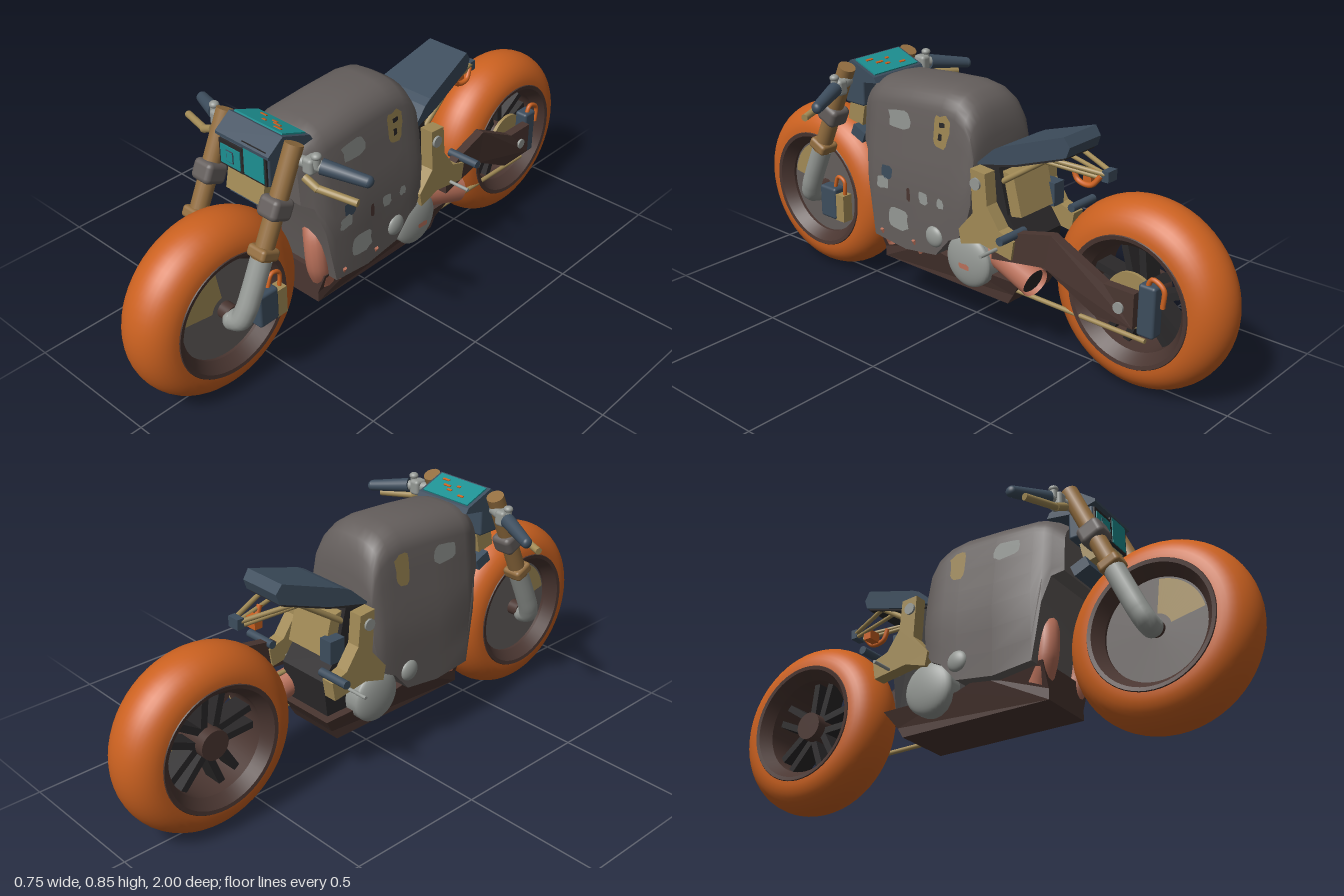
import * as THREE from 'three';
import { toCreasedNormals } from 'three/addons/utils/BufferGeometryUtils.js';
import { RoundedBoxGeometry } from 'three/addons/geometries/RoundedBoxGeometry.js';

const mat = (name, hex, side = THREE.FrontSide) => {
  const m = new THREE.MeshStandardMaterial({ color: hex, side });
  m.name = name;
  return m;
};

export function createModel() {
  const D = THREE.DoubleSide;
  const orange = mat('orange', 0xcb6120), grey = mat('warm grey', 0x645e5c), brown = mat('dark brown', 0x4a3631, D);
  const slate = mat('slate blue', 0x3d4d5d), khaki = mat('khaki', 0xa18a56, D), bronze = mat('bronze', 0x936e40);
  const silver = mat('light grey', 0x949894, D), salmon = mat('salmon', 0xb8705a, D), teal = mat('teal', 0x1d9092);
  const black = mat('near black', 0x2a2829);
  const model = new THREE.Group();
  model.name = 'motorcycle';

  const add = (name, geo, m, parent = model) => {
    const mesh = new THREE.Mesh(geo, m);
    mesh.name = name;
    parent.add(mesh);
    return mesh;
  };
  const V = (p) => new THREE.Vector3(...p);
  const box = (name, size, pos, m, rx = 0, round = 0) => {
    const b = add(name, round ? new RoundedBoxGeometry(...size, 3, round) : new THREE.BoxGeometry(...size), m);
    b.position.set(...pos);
    b.rotation.x = rx;
  };
  // cylinder between two points
  const rod = (name, a, b, r, m, r2 = r, open = false) => {
    const d = V(b).sub(V(a));
    const c = add(name, new THREE.CylinderGeometry(r2, r, d.length(), 20, 1, open), m);
    c.position.copy(V(a)).addScaledVector(d, 0.5);
    c.quaternion.setFromUnitVectors(new THREE.Vector3(0, 1, 0), d.normalize());
  };
  const ball = (name, pos, size, m) => {
    const b = add(name, new THREE.SphereGeometry(1, 32, 20), m);
    b.position.set(...pos);
    b.scale.set(...size);
  };
  const tube = (name, pts, r, m) =>
    add(name, new THREE.TubeGeometry(new THREE.CatmullRomCurve3(pts.map(V)), 24, r, 14), m);
  // side profile given as [z, y], extruded across x
  const plate = (name, pts, x0, x1, m) => {
    const s = new THREE.Shape(pts.map((p) => new THREE.Vector2(...p)));
    const g = new THREE.ExtrudeGeometry(s, { depth: x1 - x0, bevelEnabled: false });
    g.rotateY(-Math.PI / 2).translate(x1, 0, 0);
    return add(name, g, m);
  };
  // plate whose x positions follow a rule
  const bent = (mesh, rule) => {
    const p = mesh.geometry.attributes.position;
    for (let i = 0; i < p.count; i++) p.setX(i, rule(p.getX(i), p.getY(i), p.getZ(i)));
    mesh.geometry.computeVertexNormals();
  };

  // wheels
  const lathe = (pts) => toCreasedNormals(
    new THREE.LatheGeometry(pts.map((p) => new THREE.Vector2(...p)), 56).rotateZ(-Math.PI / 2), 0.6);
  const tyre = [];
  for (let i = 0; i <= 20; i++) {
    const a = -Math.PI / 2 + (Math.PI * i) / 20;
    tyre.push([0.213 + 0.098 * Math.cos(a), 0.107 * Math.sin(a)]);
  }
  const wheel = (name, z) => {
    const g = new THREE.Group();
    g.name = name;
    g.position.set(0, 0.311, z);
    model.add(g);
    add('tyre', lathe(tyre), orange, g);
    add('rim', lathe([[0.217, -0.104], [0.213, -0.11], [0.2, -0.108], [0.172, -0.07], [0.172, 0.07], [0.2, 0.108],
      [0.213, 0.11], [0.217, 0.104]]), brown, g);
    return g;
  };
  const front = wheel('frontWheel', 0.689), rear = wheel('rearWheel', -0.689);
  const disc = (name, r, w, m, parent, x = 0) => {
    const d = add(name, new THREE.CylinderGeometry(r, r, w, 48), m, parent);
    d.rotation.z = Math.PI / 2;
    d.position.x = x;
  };
  disc('wheelCover', 0.173, 0.12, grey, front);
  disc('frontHub', 0.028, 0.2, brown, front);
  for (const s of [1, -1]) {
    const wedge = add('coverPatch', new THREE.RingGeometry(0.05, 0.165, 16, 1, s > 0 ? 1.75 : 0.2, 1.25), khaki, front);
    wedge.rotation.y = s * Math.PI / 2;
    wedge.position.x = s * 0.063;
  }
  disc('rearHub', 0.05, 0.14, brown, rear);
  disc('rearRotor', 0.09, 0.012, khaki, rear, 0.075);
  for (let i = 0; i < 5; i++) {
    const arm = new THREE.Group();
    arm.name = 'spokePair';
    arm.rotation.x = (i * 2 * Math.PI) / 5 + 0.2;
    rear.add(arm);
    for (const o of [-1, 1]) {
      const spoke = add('spoke', new THREE.BoxGeometry(0.07, 0.15, 0.024), black, arm);
      spoke.position.set(0, 0.1, o * 0.027);
      spoke.rotation.x = o * 0.08;
    }
  }

  // main body, lofted from front to back: z, bottom, top, width factor
  const sideX = (y) => 0.172 - 0.13 * Math.max(0, y - 0.5);
  const stations = [[0.41, 0.575, 0.765, 0.72], [0.375, 0.555, 0.795, 0.85], [0.35, 0.46, 0.805, 0.95], [0.315, 0.265, 0.815, 1],
    [0.17, 0.25, 0.828, 1], [0.03, 0.27, 0.835, 1], [-0.03, 0.34, 0.825, 1], [-0.07, 0.36, 0.8, 0.99],
    [-0.095, 0.4, 0.76, 0.96], [-0.11, 0.48, 0.69, 0.9]];
  const pos = [], idx = [], N = 28;
  for (const [z, yb, yt, w] of stations) {
    const half = [];
    for (let k = 0; k < 6; k++) half.push(yb + ((yt - 0.08 - yb) * k) / 6);
    const ring = half.map((y) => [sideX(y) * w, y]);
    for (let k = 0; k < 8; k++) {
      const a = (k / 7.5) * Math.PI / 2, y = yt - 0.08 + 0.08 * Math.sin(a);
      ring.push([sideX(y) * w * Math.pow(Math.cos(a), 0.65), y]);
    }
    for (const [x, y] of ring) pos.push(x, y, z);
    for (const [x, y] of ring.reverse()) pos.push(-x, y, z);
  }
  const last = (stations.length - 1) * N;
  for (let i = 0; i < stations.length - 1; i++) for (let j = 0; j < N; j++) {
    const a = i * N + j, b = i * N + ((j + 1) % N);
    idx.push(a, a + N, b + N, a, b + N, b);
  }
  for (let j = 1; j < N - 1; j++) idx.push(0, j, j + 1, last, last + j + 1, last + j);
  const body = new THREE.BufferGeometry();
  body.setAttribute('position', new THREE.Float32BufferAttribute(pos, 3));
  body.setIndex(idx);
  add('bodyShell', toCreasedNormals(body, 0.7), grey);

  // worn paint patches lying on the sides
  let seed = 7;
  const rand = () => (seed = (seed * 16807) % 2147483647) / 2147483647;
  const soft = (v) => Math.sign(v) * Math.pow(Math.abs(v), 0.6);
  const patch = (s, z, y, w, h, m, lift = 0.003) => {
    const pts = [];
    for (let i = 0; i < 14; i++) {
      const a = (i / 14) * Math.PI * 2, r = 0.85 + 0.3 * rand();
      pts.push(new THREE.Vector2(-s * (z + w * r * soft(Math.cos(a))), y + h * r * soft(Math.sin(a))));
    }
    const g = new THREE.ShapeGeometry(new THREE.Shape(pts)).rotateY(s * Math.PI / 2), p = g.attributes.position;
    for (let i = 0; i < p.count; i++) p.setX(i, s * (sideX(p.getY(i)) + lift));
    add('paintPatch', g, m);
  };
  for (const s of [1, -1]) {
    patch(s, 0.21, 0.7, 0.05, 0.03, silver);
    patch(s, 0.02, 0.7, 0.033, 0.052, khaki);
  }
  patch(1, 0.2, 0.355, 0.046, 0.038, silver);
  patch(1, 0.25, 0.51, 0.025, 0.022, slate);
  patch(1, 0.27, 0.47, 0.028, 0.022, silver);
  patch(1, 0.08, 0.46, 0.02, 0.022, silver);
  patch(1, 0.005, 0.46, 0.014, 0.017, silver);
  patch(1, 0.15, 0.455, 0.008, 0.026, brown);
  patch(1, 0.018, 0.72, 0.012, 0.008, black, 0.005);
  patch(1, 0.022, 0.68, 0.008, 0.012, black, 0.005);

  // engine block and belly pan
  plate('engineBlock', [[-0.08, 0.62], [-0.18, 0.62], [-0.22, 0.46], [-0.28, 0.38], [-0.26, 0.2], [0.3, 0.2], [0.3, 0.5]], -0.1, 0.1, black);
  bent(plate('bellyPan', [[0.335, 0.275], [0.335, 0.19], [0.335, 0.153], [-0.23, 0.153], [-0.252, 0.19], [-0.295, 0.25], [0, 0.25],
    [0.1, 0.275]], -1, 1, brown), (x, y) => x * (0.106 + 0.4 * Math.max(0, y - 0.19)));

  // seat with dark underside, and tail
  const seatWidth = (x, y, z) => x * (0.12 + 0.13 * (z + 0.12));
  bent(plate('seat', [[-0.1, 0.61], [-0.17, 0.675], [-0.2, 0.69], [-0.42, 0.765], [-0.442, 0.735], [-0.43, 0.7], [-0.25, 0.64]],
    -1, 1, slate), seatWidth);
  bent(plate('seatBase', [[-0.11, 0.609], [-0.25, 0.639], [-0.42, 0.696], [-0.42, 0.69], [-0.25, 0.632], [-0.11, 0.6]],
    -0.95, 0.95, black), seatWidth);
  box('tailLamp', [0.05, 0.035, 0.03], [0, 0.63, -0.47], orange);
  box('tailBlock', [0.045, 0.035, 0.025], [0, 0.65, -0.535], slate);

  // dash hood, screen and headlamps
  plate('dashHood', [[0.35, 0.785], [0.36, 0.803], [0.47, 0.845], [0.53, 0.8], [0.53, 0.79], [0.45, 0.77]], -0.115, 0.115, slate);
  box('dashScreen', [0.205, 0.006, 0.1], [0, 0.826, 0.414], teal, -0.37);
  for (const [x, z, w] of [[-0.05, 0.39, 0.025], [0.01, 0.4, 0.02], [0.035, 0.415, 0.03], [0.06, 0.437, 0.03], [-0.01, 0.425, 0.015]]) {
    box('screenMark', [w, 0.004, 0.008], [x, 0.83 + (z - 0.414) * 0.39, z], orange, -0.37);
  }
  for (const [x, y, w, h] of [[-0.057, 0.732, 0.112, 0.1], [0.046, 0.748, 0.112, 0.13]]) {
    box('lampHousing', [w, h, 0.09], [x, y, 0.473], slate, 0, 0.008);
    box('lampBezel', [w - 0.01, h - 0.012, 0.008], [x, y, 0.52], black);
    box('lampLens', [w - 0.026, h - 0.034, 0.008], [x, y - 0.003, 0.523], teal);
  }
  box('lensInset', [0.03, 0.04, 0.005], [-0.057, 0.73, 0.527], slate);
  box('lensInsetFace', [0.025, 0.035, 0.005], [-0.057, 0.73, 0.528], teal);
  box('steeringStem', [0.16, 0.075, 0.07], [0, 0.645, 0.49], khaki, -0.2);
  box('lowerYoke', [0.21, 0.04, 0.06], [0, 0.58, 0.46], slate, -0.4);

  // fork, handlebars, frame and engine parts on both sides
  const fz = (y) => 0.46 + (0.82 - y) * 0.451;
  for (const s of [1, -1]) {
    const P = (x, y, z) => [s * x, y, z];
    const F = (x, y) => P(x, y, fz(y));
    rod('upperFork', F(0.147, 0.48), F(0.147, 0.83), 0.03, bronze);
    box('forkClamp', [0.08, 0.07, 0.085], F(0.145, 0.648), grey, -0.424, 0.018);
    box('forkCollar', [0.074, 0.04, 0.075], F(0.147, 0.518), bronze, -0.424, 0.012);
    tube('lowerFork', [F(0.147, 0.5), F(0.147, 0.4), F(0.144, 0.345), F(0.132, 0.31), F(0.105, 0.3)], 0.035, silver);
    ball('forkFoot', F(0.105, 0.3), [0.03, 0.035, 0.035], silver);
    rod('handlebarMount', P(0.14, 0.78, 0.46), P(0.24, 0.773, 0.425), 0.018, silver);
    box('switchBlock', [0.04, 0.055, 0.05], P(0.2, 0.775, 0.44), silver, 0, 0.012);
    rod('reservoir', P(0.22, 0.775, 0.44), P(0.22, 0.81, 0.44), 0.013, silver);
    ball('reservoirCap', P(0.22, 0.81, 0.44), [0.016, 0.012, 0.016], silver);
    rod('grip', P(0.23, 0.775, 0.428), P(0.36, 0.753, 0.372), 0.025, slate, 0.019);
    ball('gripEnd', P(0.36, 0.753, 0.372), [0.015, 0.019, 0.019], slate);
    rod('lever', P(0.2, 0.745, 0.47), P(0.25, 0.722, 0.465), 0.013, khaki);
    rod('leverBlade', P(0.24, 0.724, 0.466), P(0.37, 0.71, 0.425), 0.012, khaki);
    const between = (a, b) => (s > 0 ? [a, b] : [-b, -a]);
    plate('framePlate', [[-0.13, 0.62], [-0.19, 0.615], [-0.2, 0.51], [-0.25, 0.44], [-0.31, 0.42], [-0.3, 0.355], [-0.17, 0.375],
      [-0.09, 0.35], [-0.08, 0.4], [-0.14, 0.47]], ...between(0.13, 0.178), khaki);
    rod('frameBolt', P(0.17, 0.575, -0.155), P(0.186, 0.575, -0.155), 0.02, silver);
    rod('seatStay', P(0.09, 0.56, -0.18), P(0.07, 0.68, -0.36), 0.01, khaki);
    rod('tailStay', P(0.075, 0.68, -0.36), P(0.015, 0.655, -0.53), 0.008, khaki);
    rod('lowerTailStay', P(0.06, 0.66, -0.3), P(0.015, 0.64, -0.52), 0.007, khaki);
    rod('footPeg', P(0.12, 0.44, -0.305), P(0.24, 0.44, -0.305), 0.014, slate);
    rod('pedal', P(0.12, 0.375, -0.24), P(0.255, 0.375, -0.24), 0.006, silver);
    rod('engineCover', P(0.08, 0.28, -0.095), P(0.145, 0.28, -0.095), 0.092, silver);
    ball('engineCoverDome', P(0.145, 0.28, -0.095), [0.03, 0.092, 0.092], silver);
    rod('starterCover', P(0.08, 0.335, 0.035), P(0.17, 0.335, 0.035), 0.037, silver);
    ball('starterDome', P(0.17, 0.335, 0.035), [0.018, 0.037, 0.037], silver);
    tube('headerPipe', [P(0.06, 0.44, 0.3), P(0.09, 0.39, 0.325), P(0.1, 0.3, 0.325), P(0.085, 0.22, 0.29)], 0.04, salmon);
  }
  plate('subframe', [[-0.18, 0.6], [-0.23, 0.59], [-0.265, 0.46], [-0.21, 0.45]], -0.085, 0.085, khaki);

  // exhaust outlet and pan straps
  patch(1, -0.1, 0.27, 0.022, 0.01, salmon, 0.005);
  rod('exhaustPipe', [0.09, 0.32, -0.16], [0.115, 0.27, -0.35], 0.045, salmon, 0.05, true);
  rod('exhaustBore', [0.09, 0.32, -0.16], [0.113, 0.274, -0.335], 0.03, black, 0.044);
  for (const z of [0.28, 0.13]) rod('panStrap', [0.145, 0.24, z - 0.005], [0.174, 0.295, z], 0.007, salmon);

  // single sided swingarm, chain and brakes
  bent(plate('swingarm', [[-0.22, 0.335], [-0.42, 0.36], [-0.6, 0.255], [-0.74, 0.255], [-0.74, 0.37], [-0.63, 0.37],
    [-0.44, 0.475], [-0.3, 0.445], [-0.22, 0.41]], 0.11, 0.142, brown), (x, y, z) => x + 0.085 * Math.max(0, z + 0.62));
  rod('rearAxle', [0, 0.311, -0.689], [0.15, 0.311, -0.689], 0.018, silver);
  rod('lowerChain', [0.1, 0.21, -0.25], [0.1, 0.205, -0.76], 0.008, khaki);
  rod('upperChain', [0.1, 0.34, -0.25], [0.1, 0.33, -0.5], 0.008, khaki);
  box('rearCaliper', [0.05, 0.17, 0.06], [0.1, 0.315, -0.77], slate, 0, 0.01);
  box('frontCaliper', [0.05, 0.12, 0.08], [0.125, 0.3, 0.585], slate, 0, 0.01);
  box('caliperBracket', [0.04, 0.1, 0.045], [0.125, 0.29, 0.53], khaki);
  tube('rearHose', [[0.11, 0.38, -0.76], [0.11, 0.42, -0.78], [0.11, 0.4, -0.82], [0.11, 0.34, -0.82]], 0.008, orange);
  tube('frontHose', [[0.125, 0.35, 0.57], [0.125, 0.4, 0.55], [0.125, 0.39, 0.52], [0.125, 0.33, 0.52]], 0.007, orange);
  tube('tailHose', [[0.03, 0.66, -0.42], [0.03, 0.62, -0.44], [0.03, 0.615, -0.49], [0.02, 0.65, -0.52]], 0.009, orange);
  box('batteryBox', [0.05, 0.08, 0.06], [-0.1, 0.49, -0.24], slate);
  return model;
}
